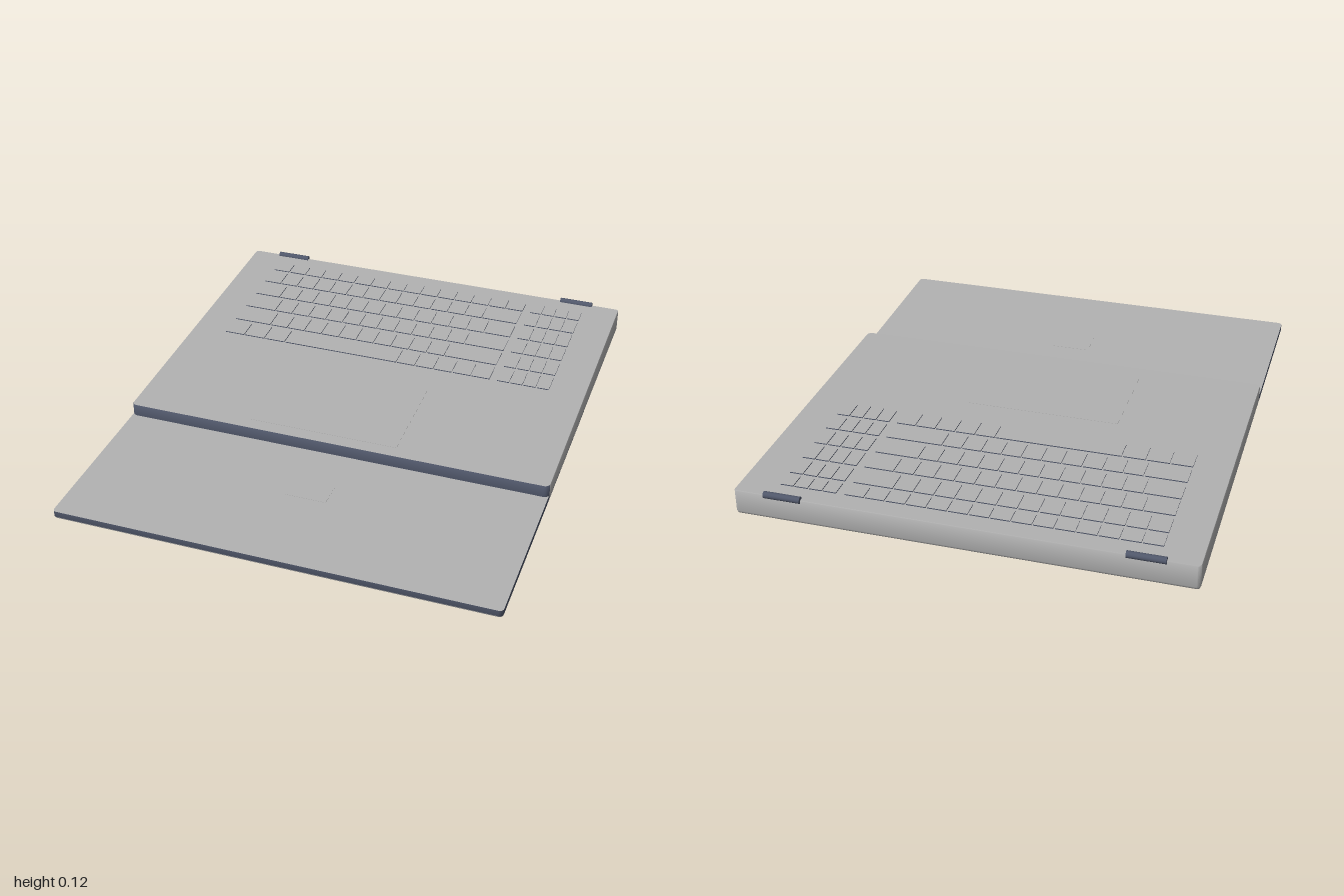
import * as THREE from 'three';
import { toCreasedNormals } from 'three/addons/utils/BufferGeometryUtils.js';

const silver = new THREE.MeshStandardMaterial({ color: 0xb2b2b2 });
silver.name = 'silver';
const slate = new THREE.MeshStandardMaterial({ color: 0x50576a });
slate.name = 'slate';

// Rounded rectangle in x and z, with its own radius for the front and back corners
function outline(halfW, zBack, zFront, rFront, rBack, inset) {
  const points = [];
  const corners = [[1, 1], [-1, 1], [-1, -1], [1, -1]];
  corners.forEach(([sx, sz], c) => {
    const r = sz > 0 ? rFront : rBack;
    const cx = sx * (halfW - r);
    const cz = sz > 0 ? zFront - r : zBack + r;
    for (let i = 0; i <= 5; i++) {
      const a = (c + i / 5) * Math.PI / 2;
      points.push([cx + (r - inset) * Math.cos(a), cz + (r - inset) * Math.sin(a)]);
    }
  });
  return points;
}

// Slab lofted through levels of { inset, y(z) }; pick(part, level, z) gives a material index
function slab(name, dims, levels, pick) {
  const rings = levels.map(({ inset, y }) =>
    outline(...dims, inset).map(([x, z]) => new THREE.Vector3(x, y(z), z)));
  const faces = [[], []];
  const tri = (m, ...p) => p.forEach(v => faces[m].push(v.x, v.y, v.z));
  const n = rings[0].length;
  const last = rings.length - 1;
  const midZ = (dims[1] + dims[2]) / 2;
  const low = new THREE.Vector3(0, levels[0].y(midZ), midZ);
  const high = new THREE.Vector3(0, levels[last].y(midZ), midZ);
  for (let i = 0; i < n; i++) {
    const j = (i + 1) % n;
    for (let k = 0; k < last; k++) {
      const [a, b, c, d] = [rings[k][i], rings[k][j], rings[k + 1][j], rings[k + 1][i]];
      const m = pick('side', k, (a.z + b.z) / 2);
      tri(m, a, d, c);
      tri(m, a, c, b);
    }
    tri(pick('bottom'), low, rings[0][i], rings[0][j]);
    tri(pick('top'), high, rings[last][j], rings[last][i]);
  }
  const geometry = new THREE.BufferGeometry();
  geometry.setAttribute('position', new THREE.Float32BufferAttribute(faces.flat(), 3));
  const smooth = toCreasedNormals(geometry, 0.7);
  smooth.addGroup(0, faces[0].length / 3, 0);
  smooth.addGroup(faces[0].length / 3, faces[1].length / 3, 1);
  const mesh = new THREE.Mesh(smooth, [silver, slate]);
  mesh.name = name;
  return mesh;
}

const unitBox = new THREE.BoxGeometry(1, 1, 1);
function box(name, x0, x1, y0, y1, z0, z1, material) {
  const mesh = new THREE.Mesh(unitBox, material);
  mesh.name = name;
  mesh.scale.set(x1 - x0, y1 - y0, z1 - z0);
  mesh.position.set((x0 + x1) / 2, (y0 + y1) / 2, (z0 + z1) / 2);
  return mesh;
}

export function createModel() {
  const model = new THREE.Group();
  model.name = 'laptop';
  const back = -0.99, front = 0.335, backY = 0.105, frontY = 0.078;
  const slope = (backY - frontY) / (front - back);
  const flat = y => () => y;

  // Wedge body: silver shell, slate front face and underside
  model.add(slab('body', [0.85, back, front, 0.022, 0.014],
    [
      { inset: 0.012, y: flat(0.003) },
      { inset: 0.0035, y: flat(0.008) },
      { inset: 0, y: flat(0.017) },
      { inset: 0, y: z => backY - 0.003 - (z - back) * slope },
      { inset: 0.002, y: z => backY - (z - back) * slope },
    ],
    (part, k, z) => (part === 'bottom' || (part === 'side' && z > front - 0.015) ? 1 : 0)));

  // Flat lid under the body, sliding out to the front
  model.add(slab('lid', [0.848, -0.32, 1, 0.016, 0.016],
    [
      { inset: 0.003, y: flat(0) },
      { inset: 0, y: flat(0.006) },
      { inset: 0, y: flat(0.03) },
    ],
    (part, k) => (part === 'side' && k === 1 ? 1 : 0)));
  model.add(box('lidPlate', -0.08, 0.08, 0.028, 0.031, 0.52, 0.63, silver));

  // Hinge barrels on the rear edge
  for (const side of [-1, 1]) {
    const hinge = new THREE.Mesh(new THREE.CylinderGeometry(0.013, 0.013, 0.14, 20), slate);
    hinge.name = side > 0 ? 'leftHinge' : 'rightHinge';
    hinge.rotation.z = Math.PI / 2;
    hinge.position.set(side * 0.662, 0.105, -0.987);
    model.add(hinge);
  }

  // Deck parts lie on the sloping top; z is measured from the rear edge
  const deck = new THREE.Group();
  deck.name = 'deck';
  deck.position.set(0, backY, back);
  deck.rotation.x = Math.atan(slope);
  model.add(deck);
  deck.add(box('touchpad', -0.365, 0.24, -0.001, 0.001, 0.85, 1.27, silver));

  // Keys with silver tops and slate sides
  const keyMaterials = [slate, slate, silver, slate, slate, slate];
  const addKeys = (name, x0, x1, z0, z1, widths) => {
    const unit = (x1 - x0) / widths.reduce((a, b) => a + b, 0);
    let x = x0;
    for (const w of widths) {
      deck.add(box(name, x + 0.003, x + w * unit - 0.003, -0.002, 0.004,
        z0 - back, z1 - back, keyMaterials));
      x += w * unit;
    }
  };
  const ones = n => Array(n).fill(1);
  const rows = [
    [-0.91, -0.843, ones(15)],
    [-0.825, -0.735, [...ones(13), 2]],
    [-0.714, -0.622, [1.5, ...ones(12), 1.5]],
    [-0.602, -0.51, [1.8, ...ones(11), 2.2]],
    [-0.487, -0.395, [2.1, ...ones(10), 2.9]],
    [-0.375, -0.285, [1.1, 1.15, 1.15, 6.2, ...ones(5)]],
  ];
  for (const [z0, z1, widths] of rows) {
    addKeys('key', -0.708, 0.458, z0, z1, widths);
    addKeys('numberKey', 0.485, 0.705, z0, z1, ones(4));
  }
  return model;
}
